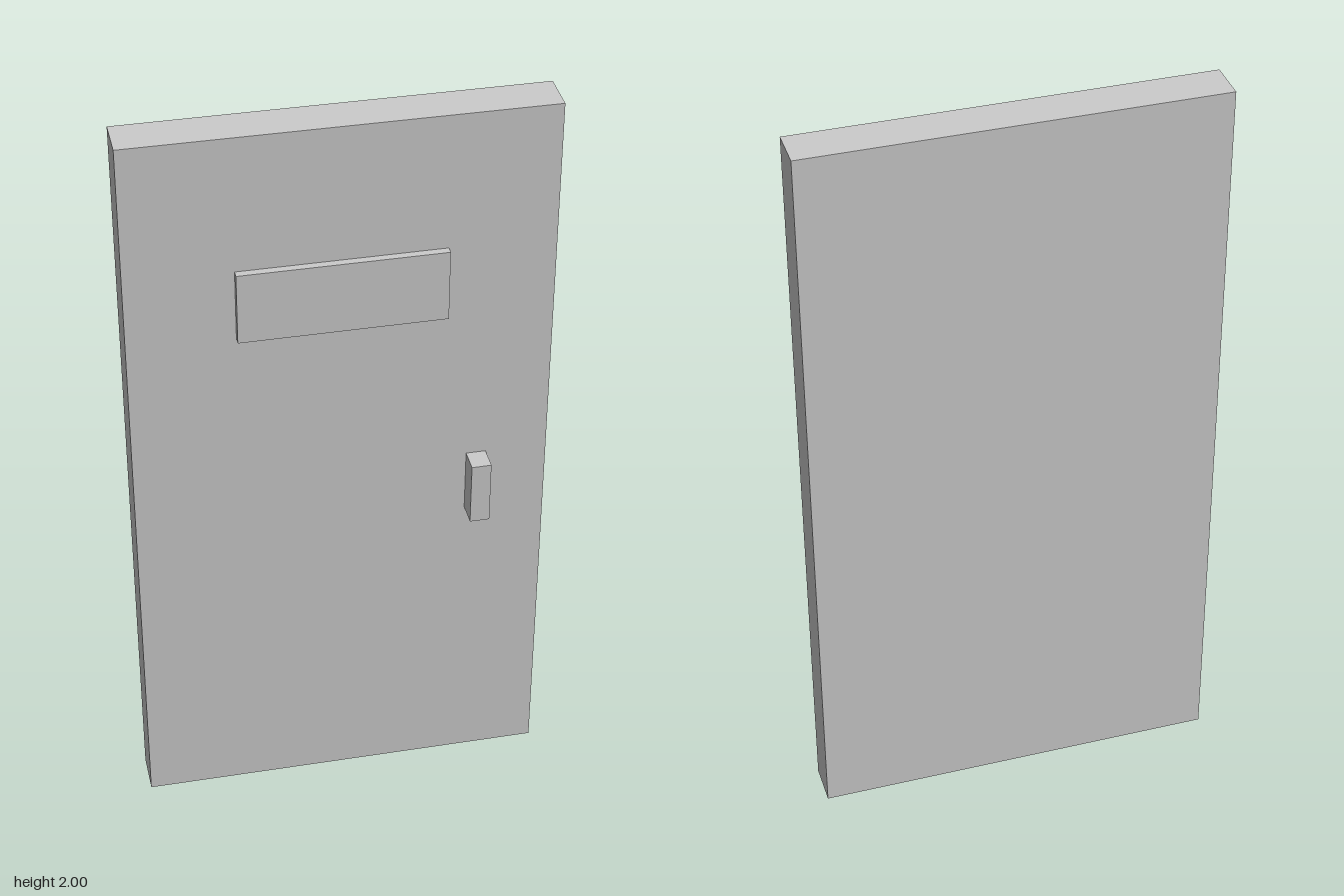
import * as THREE from 'three';

const material = new THREE.MeshStandardMaterial({ color: 0xcccccc, flatShading: true });

// Box given by its extents along each axis
function box(name, [x0, x1], [y0, y1], [z0, z1]) {
  const mesh = new THREE.Mesh(new THREE.BoxGeometry(x1 - x0, y1 - y0, z1 - z0), material);
  mesh.name = name;
  mesh.position.set((x0 + x1) / 2, (y0 + y1) / 2, (z0 + z1) / 2);
  return mesh;
}

export function createModel() {
  const group = new THREE.Group();
  group.name = 'door';
  const front = 0.024; // front face of the door leaf

  group.add(
    // Door leaf
    box('doorLeaf', [-0.533, 0.533], [0, 2], [-0.087, front]),
    // Raised plate in the upper part
    box('windowPlate', [-0.262, 0.262], [1.444, 1.636], [front, 0.044]),
    // Upright handle on the left side
    box('handle', [0.323, 0.374], [0.836, 1.01], [front, 0.087]),
  );
  return group;
}
